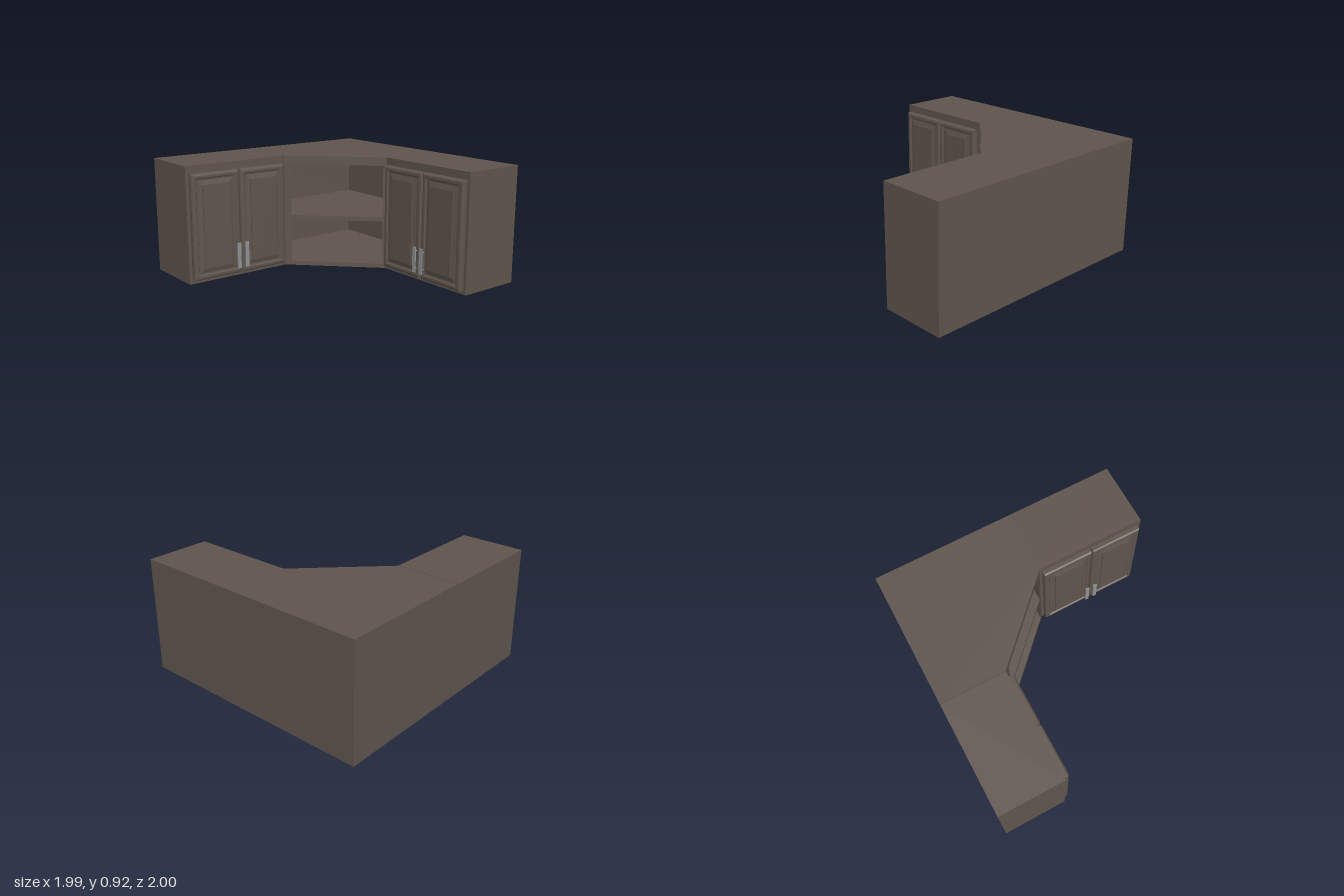
import * as THREE from 'three';

const wood = new THREE.MeshStandardMaterial({ color: 0x5f554d, flatShading: true });
const metal = new THREE.MeshStandardMaterial({ color: 0x909294 });

const H = 0.92, WIDTH = 0.885, DEPTH = 0.52;

function box(name, mat, w, h, d, x, y, z) {
  const m = new THREE.Mesh(new THREE.BoxGeometry(w, h, d), mat);
  m.position.set(x, y, z);
  m.name = name;
  return m;
}

// Upright prism over a floor plan given as [x, z] corners
function prism(name, plan, y0, y1) {
  const shape = new THREE.Shape(plan.map(([x, z]) => new THREE.Vector2(x, -z)));
  const geo = new THREE.ExtrudeGeometry(shape, { depth: y1 - y0, bevelEnabled: false });
  geo.rotateX(-Math.PI / 2);
  const m = new THREE.Mesh(geo, wood);
  m.position.y = y0;
  m.name = name;
  return m;
}

// Moulded door: nested rectangles joined ring by ring, [inset, depth]
const DOOR_PROFILE = [
  [0, 0], [0, 0.03], [0.006, 0.041], [0.016, 0.045], [0.034, 0.045],
  [0.04, 0.036], [0.052, 0.034], [0.088, 0.043], [0.088, 0.052],
];
function doorGeometry(w, h) {
  const pos = [];
  const ring = ([i, z]) => {
    const x = w / 2 - i, y = h / 2 - i;
    return [[-x, -y, z], [x, -y, z], [x, y, z], [-x, y, z]];
  };
  const quad = (a, b, c, d) => [a, b, c, a, c, d].forEach((p) => pos.push(...p));
  const rings = DOOR_PROFILE.map(ring);
  for (let r = 0; r < rings.length - 1; r++) {
    for (let k = 0; k < 4; k++) {
      const n = (k + 1) % 4;
      quad(rings[r][k], rings[r][n], rings[r + 1][n], rings[r + 1][k]);
    }
  }
  quad(...rings[rings.length - 1]);
  quad(...[...rings[0]].reverse());
  const geo = new THREE.BufferGeometry();
  geo.setAttribute('position', new THREE.Float32BufferAttribute(pos, 3));
  geo.computeVertexNormals();
  return geo;
}

// Flat bar pull on two posts
function handle() {
  const g = new THREE.Group();
  g.name = 'handle';
  g.add(box('handleBar', metal, 0.031, 0.205, 0.009, 0, 0, 0.025));
  for (const y of [-0.068, 0.068]) {
    const post = new THREE.Mesh(new THREE.CylinderGeometry(0.007, 0.007, 0.024, 12), metal);
    post.rotation.x = Math.PI / 2;
    post.position.set(0, y, 0.01);
    post.name = 'handlePost';
    g.add(post);
  }
  return g;
}

// Two-door wall cabinet, front face at local z = 0
function wing(name) {
  const g = new THREE.Group();
  g.name = name;
  g.add(box('cabinetBody', wood, WIDTH, H, DEPTH, 0, H / 2, -DEPTH / 2));
  for (const s of [-1, 1]) {
    const door = new THREE.Mesh(doorGeometry(0.412, 0.83), wood);
    door.name = 'door';
    door.position.set(s * 0.211, 0.445, 0);
    const pull = handle();
    pull.position.set(s * 0.036, 0.178, 0.043);
    g.add(door, pull);
  }
  return g;
}

// Open corner unit with a diagonal front
function cornerUnit() {
  const g = new THREE.Group();
  g.name = 'cornerUnit';
  const a = 0.11, f = -0.48;
  const plan = [[-1, -1], [a, -1], [a, f], [f, a], [-1, a]];
  g.add(
    prism('bottomPanel', plan, 0, 0.035),
    prism('shelf', plan, 0.392, 0.427),
    prism('topPanel', plan, 0.85, H),
  );
  // Upright panels fill the bays below and above the shelf
  for (const [y0, y1] of [[0.035, 0.392], [0.427, 0.85]]) {
    g.add(
      prism('backPanel', [[-1, -1], [a, -1], [a, -0.98], [-1, -0.98]], y0, y1),
      prism('leftBackPanel', [[-1, -0.98], [-0.98, -0.98], [-0.98, a], [-1, a]], y0, y1),
      prism('rightSidePanel', [[0.09, -0.98], [a, -0.98], [a, f], [0.09, f + 0.02]], y0, y1),
      prism('leftSidePanel', [[-0.98, 0.07], [f + 0.04, 0.07], [f, a], [-0.98, a]], y0, y1),
    );
  }
  return g;
}

export function createModel() {
  const model = new THREE.Group();
  model.name = 'cornerWallCabinets';

  const right = wing('backWing');
  right.position.set(0.55, 0, -0.48);

  const left = wing('sideWing');
  left.rotation.y = Math.PI / 2;
  left.position.set(-0.48, 0, 0.5575);

  model.add(right, left, cornerUnit());
  return model;
}
